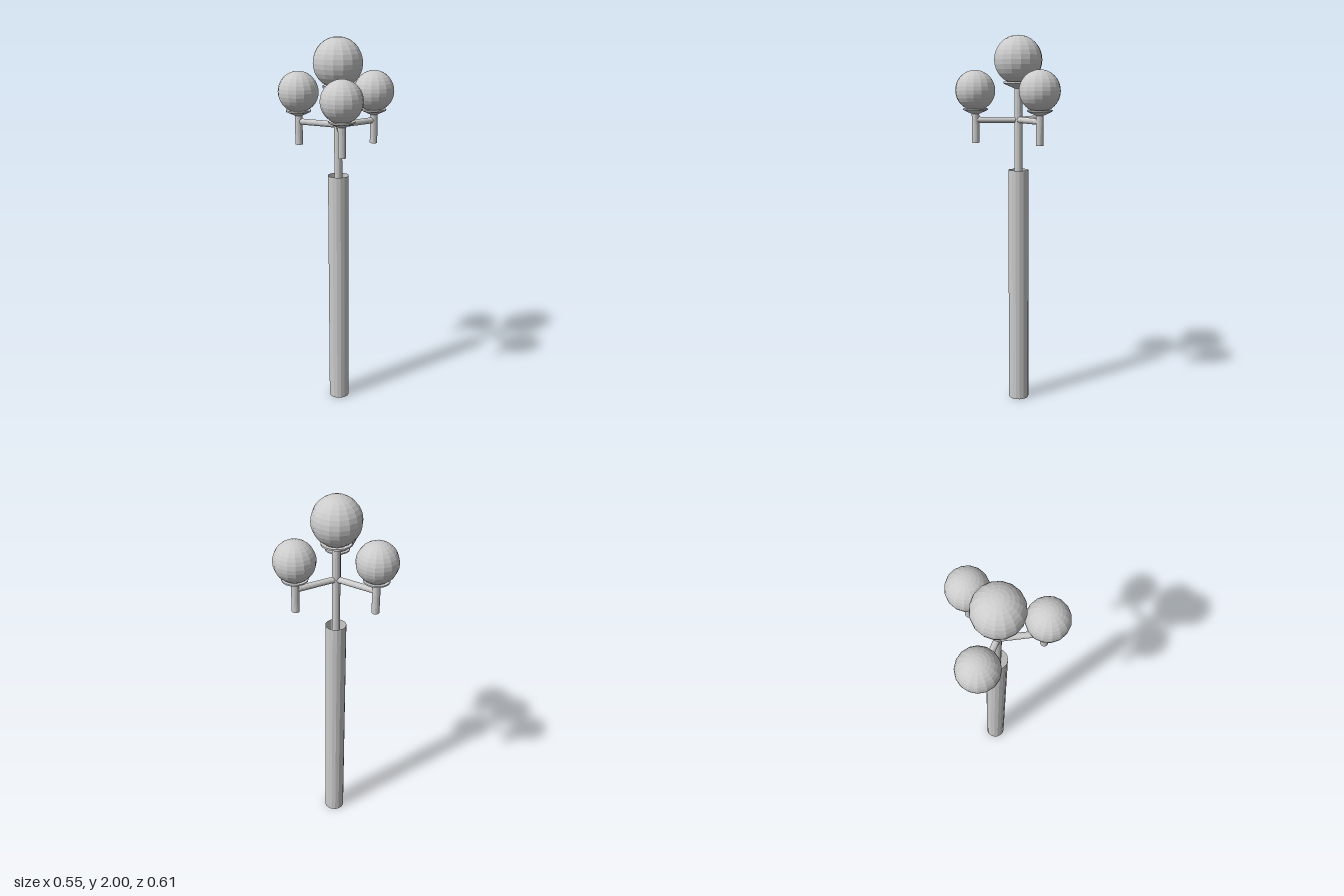
import * as THREE from 'three';

const SIDES = 16;

export function createModel() {
  const model = new THREE.Group();
  model.name = 'streetLamp';
  const mat = new THREE.MeshStandardMaterial({ color: 0xcccccc, flatShading: true, side: THREE.DoubleSide });

  const add = (parent, name, geometry, y = 0) => {
    const mesh = new THREE.Mesh(geometry, mat);
    mesh.name = name;
    mesh.position.y = y;
    parent.add(mesh);
    return mesh;
  };

  // Open tube standing between two heights
  const tube = (parent, name, radius, y0, y1) =>
    add(parent, name, new THREE.CylinderGeometry(radius, radius, y1 - y0, SIDES, 1, true), (y0 + y1) / 2);

  // Globe resting in a flared cup
  const lamp = (parent, radius, y, neck) => {
    add(parent, 'globe', new THREE.SphereGeometry(radius, SIDES, 16), y);
    const profile = [
      [neck, -1.16 * radius],
      [0.62 * radius, -0.96 * radius],
      [0.62 * radius, -0.89 * radius],
      [0.46 * radius, -0.89 * radius],
    ].map(([r, h]) => new THREE.Vector2(r, h));
    add(parent, 'cup', new THREE.LatheGeometry(profile, SIDES), y);
  };

  // Everything is arranged around the column axis
  const post = new THREE.Group();
  post.name = 'post';
  post.position.x = -0.058;
  model.add(post);

  tube(post, 'column', 0.055, 0, 1.295);
  tube(post, 'pole', 0.021, 1.25, 1.75);
  lamp(post, 0.127, 1.873, 0.021);

  // Three side lamps, each on a horizontal arm
  const reach = 0.228;
  for (let i = 0; i < 3; i++) {
    const branch = new THREE.Group();
    branch.name = 'branch' + (i + 1);
    branch.rotation.y = (i * Math.PI * 2) / 3;
    post.add(branch);

    const arm = tube(branch, 'arm', 0.016, 0, reach);
    arm.rotation.z = Math.PI / 2;
    arm.position.set(reach / 2, 1.561, 0);

    const holder = new THREE.Group();
    holder.name = 'holder';
    holder.position.x = reach;
    branch.add(holder);
    tube(holder, 'stem', 0.02, 1.44, 1.61);
    lamp(holder, 0.106, 1.715, 0.02);
  }
  return model;
}
